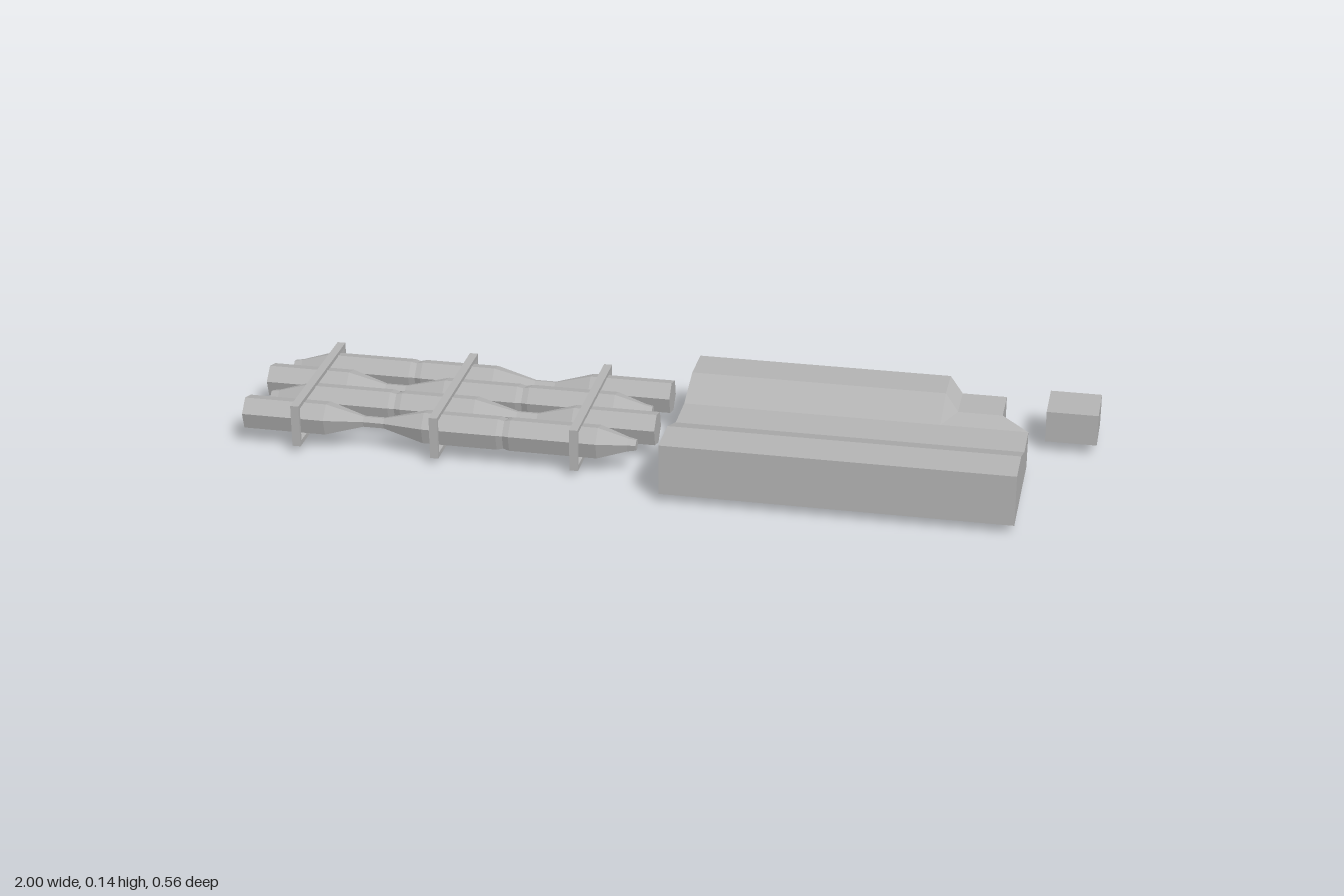
import * as THREE from 'three';

const grey = new THREE.MeshStandardMaterial({ color: 0xb4b4b4, flatShading: true });
grey.name = 'plainGrey';

function add(parent, name, geometry, x = 0, y = 0, z = 0) {
  const mesh = new THREE.Mesh(geometry, grey);
  mesh.name = name;
  mesh.position.set(x, y, z);
  parent.add(mesh);
  return mesh;
}

// Solid joined from cross-sections along x; each has matching z, top and bottom rows
function loft(sections) {
  const pos = [];
  const quad = (a, b, c, d) => pos.push(...a, ...b, ...c, ...a, ...c, ...d);
  const rings = sections.map(({ x, z, top, bottom }) => ({
    t: z.map((v, i) => [x, top[i], v]),
    b: z.map((v, i) => [x, bottom[i], v]),
  }));
  for (let s = 0; s < rings.length - 1; s++) {
    const p = [...rings[s].t, ...[...rings[s].b].reverse()];
    const q = [...rings[s + 1].t, ...[...rings[s + 1].b].reverse()];
    p.forEach((a, i) => {
      const j = (i + 1) % p.length;
      quad(a, q[i], q[j], p[j]);
    });
  }
  const first = rings[0], last = rings[rings.length - 1];
  for (let k = 0; k < first.t.length - 1; k++) {
    quad(first.t[k], first.t[k + 1], first.b[k + 1], first.b[k]);
    quad(last.t[k], last.b[k], last.b[k + 1], last.t[k + 1]);
  }
  const geometry = new THREE.BufferGeometry();
  geometry.setAttribute('position', new THREE.Float32BufferAttribute(pos, 3));
  geometry.computeVertexNormals();
  return geometry;
}

// Six-sided shaft lying along x, with a tapered end and a slim neck
function shaftGeometry(flipped) {
  let profile = [
    [-0.97, 0], [-0.97, 0.014], [-0.95, 0.018], [-0.88, 0.042], [-0.67, 0.042],
    [-0.655, 0.038], [-0.64, 0.042], [-0.46, 0.042], [-0.36, 0.014], [-0.31, 0.014],
    [-0.22, 0.042], [-0.02, 0.042], [-0.02, 0],
  ];
  if (flipped) profile = profile.map(([x, r]) => [-1.02 - x, r]).reverse();
  const points = profile.map(([x, r]) => new THREE.Vector2(r, x));
  return new THREE.LatheGeometry(points, 6, -Math.PI / 12).rotateZ(-Math.PI / 2);
}

// Thin rectangular hoop in the y-z plane
function hoopGeometry() {
  const w = 0.19, t = 0.01, depth = 0.02;
  const shape = new THREE.Shape([[-w, 0.018], [w, 0.018], [w, 0.122], [-w, 0.122]]
    .map((p) => new THREE.Vector2(...p)));
  shape.holes.push(new THREE.Path([[-w + t, 0.03], [-w + t, 0.112], [w - t, 0.112], [w - t, 0.03]]
    .map((p) => new THREE.Vector2(...p))));
  return new THREE.ExtrudeGeometry(shape, { depth, bevelEnabled: false })
    .translate(0, 0, -depth / 2).rotateY(Math.PI / 2);
}

export function createModel() {
  const model = new THREE.Group();
  model.name = 'model';

  // Bundle of four shafts held by three hoops
  const bundle = new THREE.Group();
  bundle.name = 'shaftBundle';
  model.add(bundle);
  [-0.139, -0.048, 0.043, 0.139].forEach((z, i) =>
    add(bundle, 'shaft', shaftGeometry(i % 2 === 1), 0, 0.074, z));
  for (const x of [-0.865, -0.527, -0.19]) add(bundle, 'hoop', hoopGeometry(), x);

  // Slab with a long trough and a stepped rear corner
  const full = {
    z: [0.28, 0.175, 0.075, -0.03, -0.13, -0.235],
    top: [0.147, 0.147, 0.11, 0.111, 0.147, 0.145],
    bottom: [0.024, 0.024, 0.024, 0.024, 0.024, 0.024],
  };
  const step = {
    z: [0.28, 0.175, 0.075, -0.03, -0.08, -0.183],
    top: [0.147, 0.147, 0.11, 0.111, 0.125, 0.126],
    bottom: [0.024, 0.024, 0.024, 0.022, 0.003, 0.003],
  };
  const cut = {
    z: [0.28, 0.175, 0.075, -0.03, -0.08, -0.08],
    top: [0.147, 0.147, 0.11, 0.111, 0.125, 0.125],
    bottom: step.bottom,
  };
  const end = {
    z: [0.28, 0.175, 0.075, -0.03, -0.03, -0.03],
    top: [0.147, 0.147, 0.11, 0.111, 0.111, 0.111],
    bottom: [0.024, 0.024, 0.024, 0.022, 0.022, 0.022],
  };
  add(model, 'troughSlab', loft([
    { x: 0.03, ...full }, { x: 0.64, ...full }, { x: 0.675, ...step },
    { x: 0.78, ...step }, { x: 0.78, ...cut }, { x: 0.845, ...end },
  ]));

  // Loose block beside the stepped corner
  add(model, 'smallBlock', new THREE.BoxGeometry(0.122, 0.077, 0.122), 0.938, 0.068, -0.221);

  return model;
}
